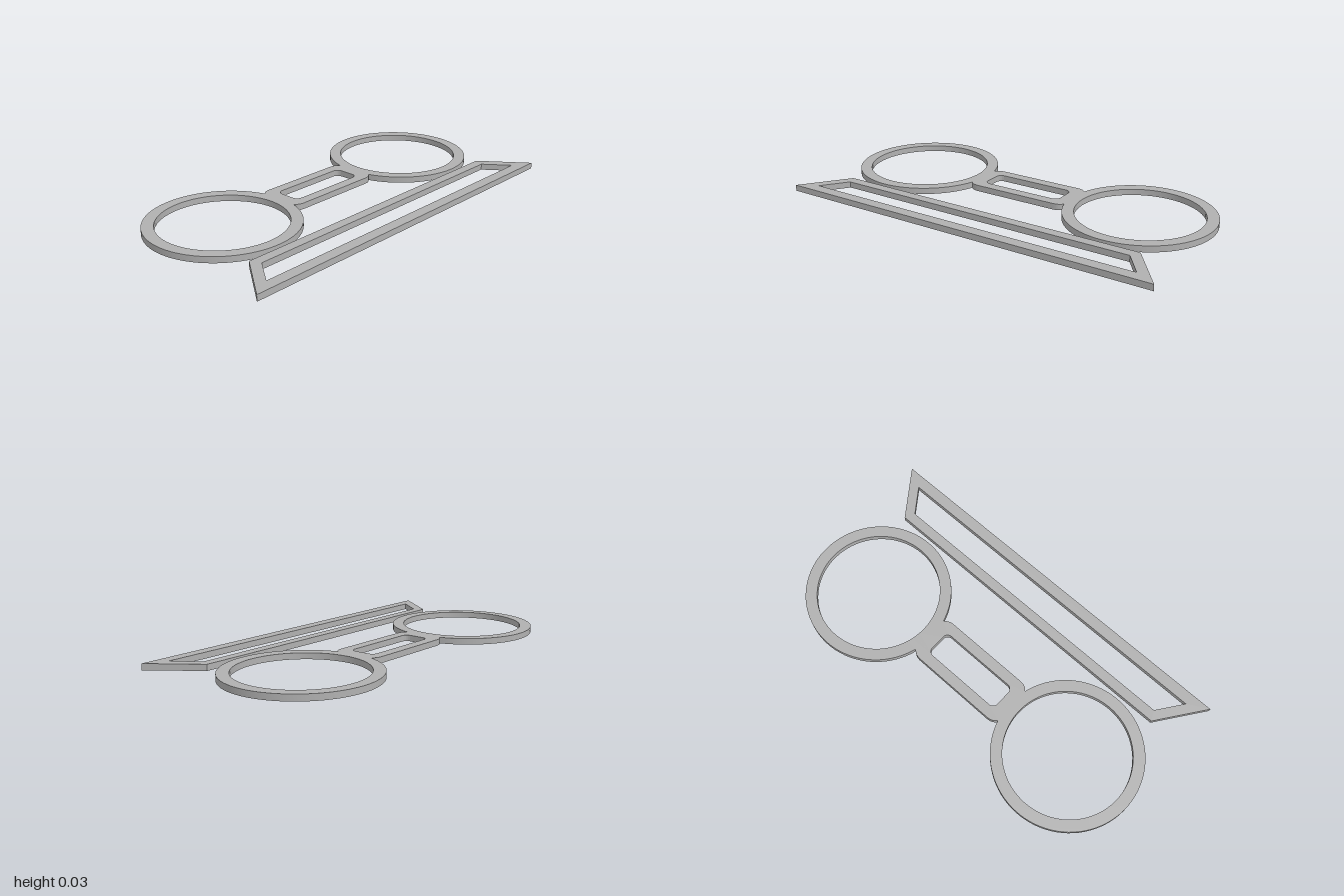
import * as THREE from 'three';
import { toCreasedNormals } from 'three/addons/utils/BufferGeometryUtils.js';

const THICK = 0.031;

export function createModel() {
  const group = new THREE.Group();
  const grey = new THREE.MeshStandardMaterial({ color: 0xb0b0b0 });
  grey.name = 'plain grey';

  // Extrude a flat outline upwards; shape y points to -z
  function addPlate(name, shape, z) {
    const geo = new THREE.ExtrudeGeometry(shape, { depth: THICK, bevelEnabled: false, curveSegments: 40 });
    geo.rotateX(-Math.PI / 2);
    const mesh = new THREE.Mesh(toCreasedNormals(geo, 0.5), grey);
    mesh.name = name;
    mesh.position.z = z;
    group.add(mesh);
  }

  // Two rings joined by a bridge, as one continuous outline
  const cx = 0.63, R = 0.37, r = 0.312;
  const neckY = 0.1, a = Math.asin(neckY / R), neckX = cx - R * Math.cos(a);
  const bx = 0.222, by = 0.123, kx = 0.256;
  const rings = new THREE.Shape();
  rings.moveTo(-bx, -by);
  rings.lineTo(bx, -by);
  rings.quadraticCurveTo(kx, -by, neckX, -neckY);
  rings.absarc(cx, 0, R, Math.PI + a, 3 * Math.PI - a, false);
  rings.quadraticCurveTo(kx, by, bx, by);
  rings.lineTo(-bx, by);
  rings.quadraticCurveTo(-kx, by, -neckX, neckY);
  rings.absarc(-cx, 0, R, a, 2 * Math.PI - a, false);
  rings.quadraticCurveTo(-kx, -by, -bx, -by);

  // Round openings
  for (const s of [-1, 1]) {
    rings.holes.push(new THREE.Path().absarc(s * cx, 0, r, 0, Math.PI * 2, true));
  }

  // Rounded slot in the bridge
  const w = 0.217, h = 0.068, c = 0.03;
  const slot = new THREE.Path();
  slot.moveTo(w, h - c);
  slot.absarc(w - c, -h + c, c, 0, -Math.PI / 2, true);
  slot.absarc(-w + c, -h + c, c, -Math.PI / 2, -Math.PI, true);
  slot.absarc(-w + c, h - c, c, Math.PI, Math.PI / 2, true);
  slot.absarc(w - c, h - c, c, Math.PI / 2, 0, true);
  rings.holes.push(slot);
  addPlate('ringsAndBridge', rings, -0.132);

  // Trapezoid frame in front
  const trapezoid = (back, front, zBack, zFront) => [
    [-front, -zFront], [front, -zFront], [back, -zBack], [-back, -zBack],
  ].map(([x, y]) => new THREE.Vector2(x, y));
  const frame = new THREE.Shape(trapezoid(0.825, 1, 0.262, 0.5));
  frame.holes.push(new THREE.Path(trapezoid(0.8, 0.895, 0.313, 0.442)));
  addPlate('trapezoidFrame', frame, 0);

  return group;
}
